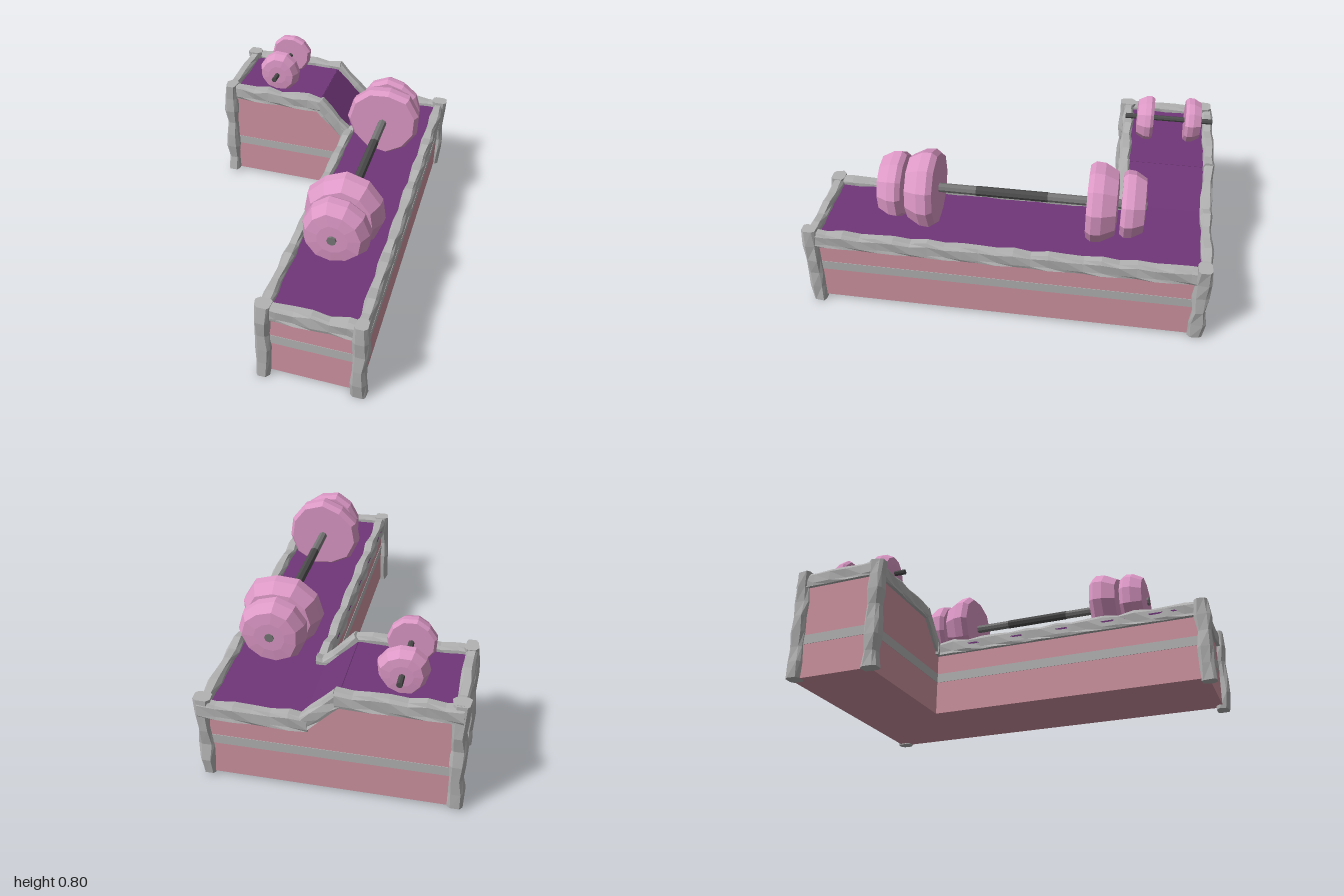
import * as THREE from 'three';

const mat = (color) => new THREE.MeshStandardMaterial({ color, flatShading: true, roughness: 0.9 });

export function createModel() {
  const root = new THREE.Group();
  const pink = mat(0xd095a2), felt = mat(0x6f3678), stone = mat(0xb2b2b2), band = mat(0xb4b4b4);
  const plateMat = mat(0xdc98c6), metal = mat(0x777777), grip = mat(0x4c4c4c);

  const add = (parent, name, geo, material) => {
    const m = new THREE.Mesh(geo, material);
    m.name = name;
    parent.add(m);
    return m;
  };
  // Box given by its minimum and maximum corners
  const box = (name, a, b, material) => {
    const m = add(root, name, new THREE.BoxGeometry(b[0] - a[0], b[1] - a[1], b[2] - a[2]), material);
    m.position.set((a[0] + b[0]) / 2, (a[1] + b[1]) / 2, (a[2] + b[2]) / 2);
    return m;
  };

  // Counter bodies: long bench and raised wing with a sloping end
  box('longBody', [0.12, 0.02, -0.975], [0.58, 0.4, 0.95], pink);
  const outline = [[-0.595, 0.02], [0.15, 0.02], [0.15, 0.4], [0.1, 0.4], [-0.06, 0.56], [-0.595, 0.56]];
  const wing = new THREE.ExtrudeGeometry(
    new THREE.Shape(outline.map((p) => new THREE.Vector2(...p))), { depth: 0.445, bevelEnabled: false });
  add(root, 'wingBody', wing.translate(0, 0, -0.975), pink);

  // Stripes around both bodies
  box('longStripe', [0.118, 0.2, -0.977], [0.582, 0.25, 0.952], band);
  box('wingStripe', [-0.597, 0.2, -0.977], [0.13, 0.25, -0.528], band);

  // Cloth tops, including the slope
  box('longTop', [0.1, 0.396, -0.965], [0.57, 0.405, 0.94], felt);
  box('wingTop', [-0.585, 0.556, -0.965], [-0.06, 0.565, -0.54], felt);
  const ramp = add(root, 'rampTop', new THREE.BoxGeometry(0.228, 0.009, 0.425), felt);
  ramp.position.set(0.02, 0.4815, -0.7525);
  ramp.rotation.z = -Math.PI / 4;

  // Rough stone beam from a to b; a rim has a flat underside, a post is chamfered all round
  let seed = 1;
  const beam = (name, a, b, w, h, isRim) => {
    const start = new THREE.Vector3(...a), end = new THREE.Vector3(...b);
    const len = start.distanceTo(end), rows = Math.max(2, Math.round(len / 0.085));
    const geo = new THREE.CylinderGeometry(1, 1, len, 8, rows);
    geo.rotateY(Math.PI / 8).rotateX(Math.PI / 2);
    const p = geo.attributes.position, clamp = THREE.MathUtils.clamp;
    const s = seed++ * 2.7;
    for (let i = 0; i < p.count; i++) {
      const row = Math.round((p.getZ(i) / len + 0.5) * rows);
      let x = clamp(p.getX(i) * 1.6, -1, 1), y = clamp(p.getY(i) * 1.6, -1, 1);
      if (isRim && y < -0.1) x = Math.sign(x) * (Math.abs(x) > 0.3 ? 1 : 0);
      const wave = Math.sin(row * 2.1 + s), wave2 = Math.sin(row * 3.7 + s * 1.9);
      const kx = 1 + (isRim ? 0.07 : 0.13) * wave;
      const ky = isRim ? (y > 0 ? 1 + 0.17 * wave2 : 1) : 1 + 0.13 * wave2;
      const chip = 0.004 * Math.sin(x * 5 + y * 7 + row * 4.3 + s);
      p.setXYZ(i, x * kx * w / 2 + chip, y * ky * h / 2 + (isRim && y < 0 ? 0 : chip), p.getZ(i));
    }
    geo.computeVertexNormals();
    const m = add(root, name, geo, stone);
    m.position.copy(start).add(end).multiplyScalar(0.5);
    if (!isRim) m.up.set(0, 0, 1);
    m.lookAt(end);
  };

  // Rims along the top edges
  const lo = 0.396, hi = 0.556;
  beam('rightRim', [0.57, lo, -0.98], [0.57, lo, 0.95], 0.055, 0.08, true);
  beam('innerRim', [0.125, lo, -0.52], [0.125, lo, 0.95], 0.052, 0.08, true);
  beam('frontRim', [0.1, lo, 0.94], [0.59, lo, 0.94], 0.055, 0.08, true);
  beam('wingLeftRim', [-0.585, hi, -0.98], [-0.585, hi, -0.52], 0.055, 0.08, true);
  for (const [side, z, xEnd] of [['back', -0.968, 0.59], ['wingFront', -0.54, 0.15]]) {
    beam(side + 'HighRim', [-0.6, hi, z], [-0.045, hi, z], 0.055, 0.08, true);
    beam(side + 'RampRim', [-0.065, hi + 0.012, z], [0.105, lo, z], 0.053, 0.07, true);
    beam(side + 'LowRim', [0.08, lo, z], [xEnd, lo, z], 0.055, 0.08, true);
  }

  // Corner posts
  for (const [x, z, y0, y1] of [
    [0.12, 0.95, 0, 0.44], [0.572, 0.95, 0, 0.45], [0.572, -0.955, 0.015, 0.45],
    [-0.585, -0.955, 0.02, 0.605], [-0.585, -0.53, 0.02, 0.6],
  ]) beam('cornerPost', [x, y0, z], [x, y1, z], 0.068, 0.075, false);

  // Weight plate: faceted disc, wide on the inner face and narrowing outward
  const plate = (parent, z, r, depth, dir, turn) => {
    const pts = [[0, 0], [0.9, 0], [1, 0.18], [0.98, 0.5], [0.8, 0.95], [0.45, 1], [0, 1]]
      .map(([a, b]) => new THREE.Vector2(a * r, b * depth));
    const geo = new THREE.LatheGeometry(pts, 11);
    const p = geo.attributes.position;
    for (let i = 0; i < p.count; i++) {
      const t = Math.atan2(p.getX(i), p.getZ(i));
      const k = 1 + 0.03 * Math.sin(3 * t + turn) + 0.015 * Math.sin(5 * t + turn * 2);
      p.setXYZ(i, p.getX(i) * k, p.getY(i), p.getZ(i) * k);
    }
    geo.computeVertexNormals();
    const m = add(parent, 'weightPlate', geo, plateMat);
    m.material.side = THREE.DoubleSide;
    m.rotation.set(dir * Math.PI / 2, turn, 0);
    m.position.z = z;
  };
  const bar = (parent, name, z0, z1, r, material) => {
    const geo = new THREE.CylinderGeometry(r, r, z1 - z0, 8).rotateX(Math.PI / 2);
    add(parent, name, geo, material).position.z = (z0 + z1) / 2;
  };

  // Large barbell on the bench
  const barbell = new THREE.Group();
  barbell.name = 'largeBarbell';
  barbell.position.set(0.342, 0.597, 0);
  root.add(barbell);
  bar(barbell, 'bar', -0.665, 0.64, 0.023, metal);
  bar(barbell, 'barGrip', -0.19, 0.16, 0.0245, grip);
  plate(barbell, 0.345, 0.197, 0.145, 1, 0.3);
  plate(barbell, 0.505, 0.166, 0.125, 1, 1.1);
  plate(barbell, -0.385, 0.197, 0.145, -1, 0.7);
  plate(barbell, -0.545, 0.166, 0.115, -1, 1.6);

  // Small dumbbell on the wing
  const dumbbell = new THREE.Group();
  dumbbell.name = 'smallDumbbell';
  dumbbell.position.set(-0.323, 0.673, 0);
  root.add(dumbbell);
  bar(dumbbell, 'bar', -0.98, -0.525, 0.014, grip);
  plate(dumbbell, -0.672, 0.116, 0.088, 1, 0.5);
  plate(dumbbell, -0.835, 0.116, 0.085, -1, 1.3);

  return root;
}
